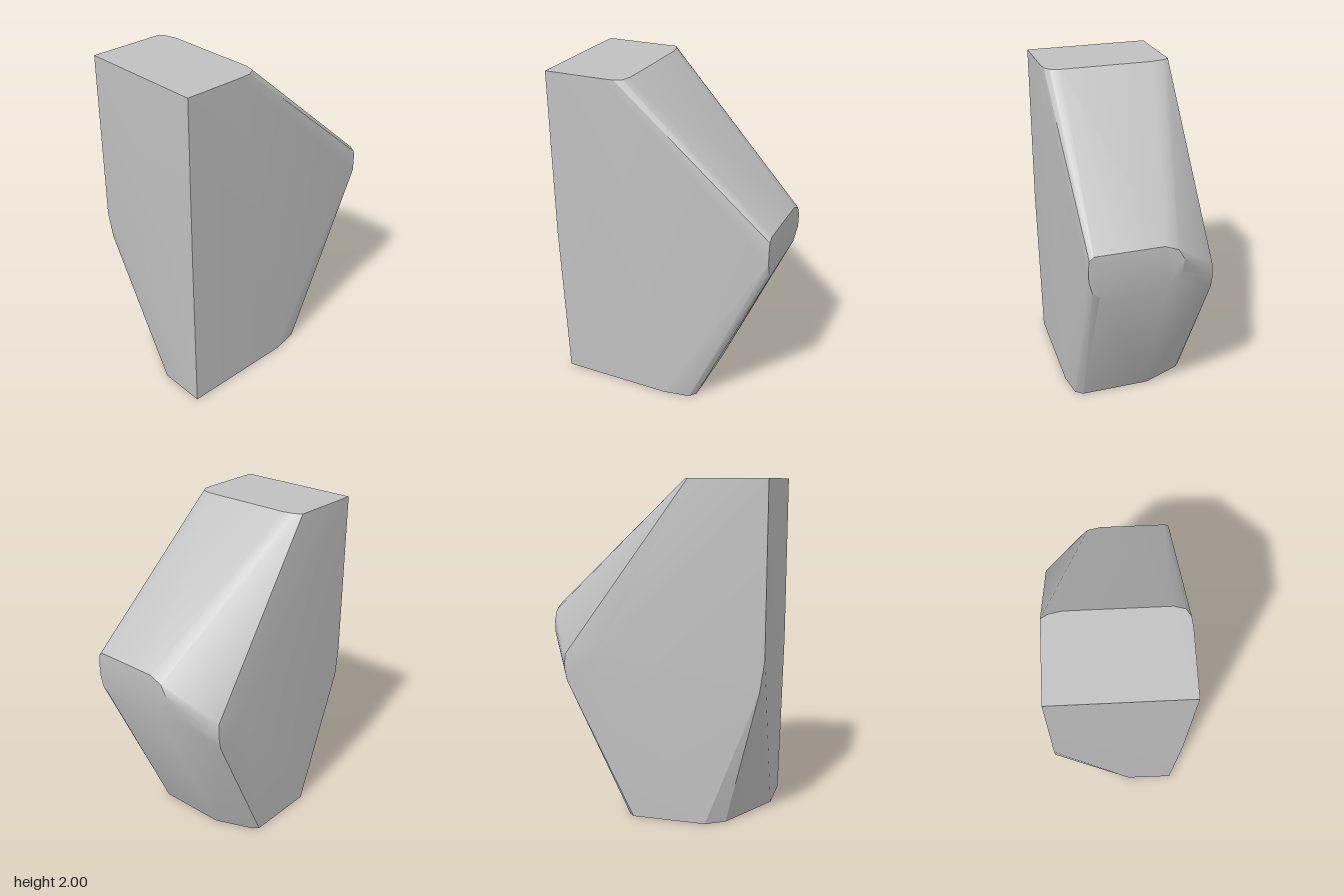
import * as THREE from 'three';
import { ConvexGeometry } from 'three/addons/geometries/ConvexGeometry.js';
import { toCreasedNormals } from 'three/addons/utils/BufferGeometryUtils.js';

export function createModel() {
  const stone = new THREE.MeshStandardMaterial({ color: 0xc0c0c0 });
  stone.name = 'greyStone';

  // Flat top, outline as [x, z]
  const top = [
    [-0.36, 0.675], [0.4, 0.675], [0.4, 0.31], [0.395, 0.25], [0.37, 0.205],
    [0.31, 0.188], [-0.25, 0.188], [-0.32, 0.202], [-0.36, 0.225],
  ].map(([x, z]) => [x, 2, z]);

  // Flat base, outline as [x, z]
  const base = [
    [0.385, 0.657], [0.1, 0.655], [-0.29, 0.45], [-0.36, 0.34], [-0.36, -0.1],
    [-0.33, -0.13], [-0.1, -0.225], [0.33, -0.225], [0.375, -0.19], [0.4, -0.03],
  ].map(([x, z]) => [x, 0, z]);

  // Small upright facet at the back, outline as [x, y]
  const back = [
    [0.4, 1.08], [0.4, 1.17], [0.395, 1.21], [0.37, 1.232], [-0.03, 1.232],
    [-0.11, 1.2], [-0.145, 1.14], [-0.14, 1.06], [-0.06, 1.0], [0.34, 0.98], [0.38, 1.01],
  ].map(([x, y]) => [x, y, -0.675]);

  // Bulge of the -x side and the start of the cut at the lower front corner
  const side = [
    [-0.388, 0.98, -0.51], [-0.392, 0.9, -0.515], [-0.39, 0.82, -0.5],
    [-0.4, 1.0, -0.3], [-0.362, 1.0, 0.675], [-0.366, 0.82, 0.65],
    [0.4, 1.0, 0.675],
  ];

  const points = [...top, ...base, ...back, ...side].map((p) => new THREE.Vector3(...p));
  const geometry = toCreasedNormals(new ConvexGeometry(points), 0.5);

  const rock = new THREE.Mesh(geometry, stone);
  rock.name = 'rock';
  const group = new THREE.Group();
  group.name = 'standingRock';
  group.add(rock);
  return group;
}
